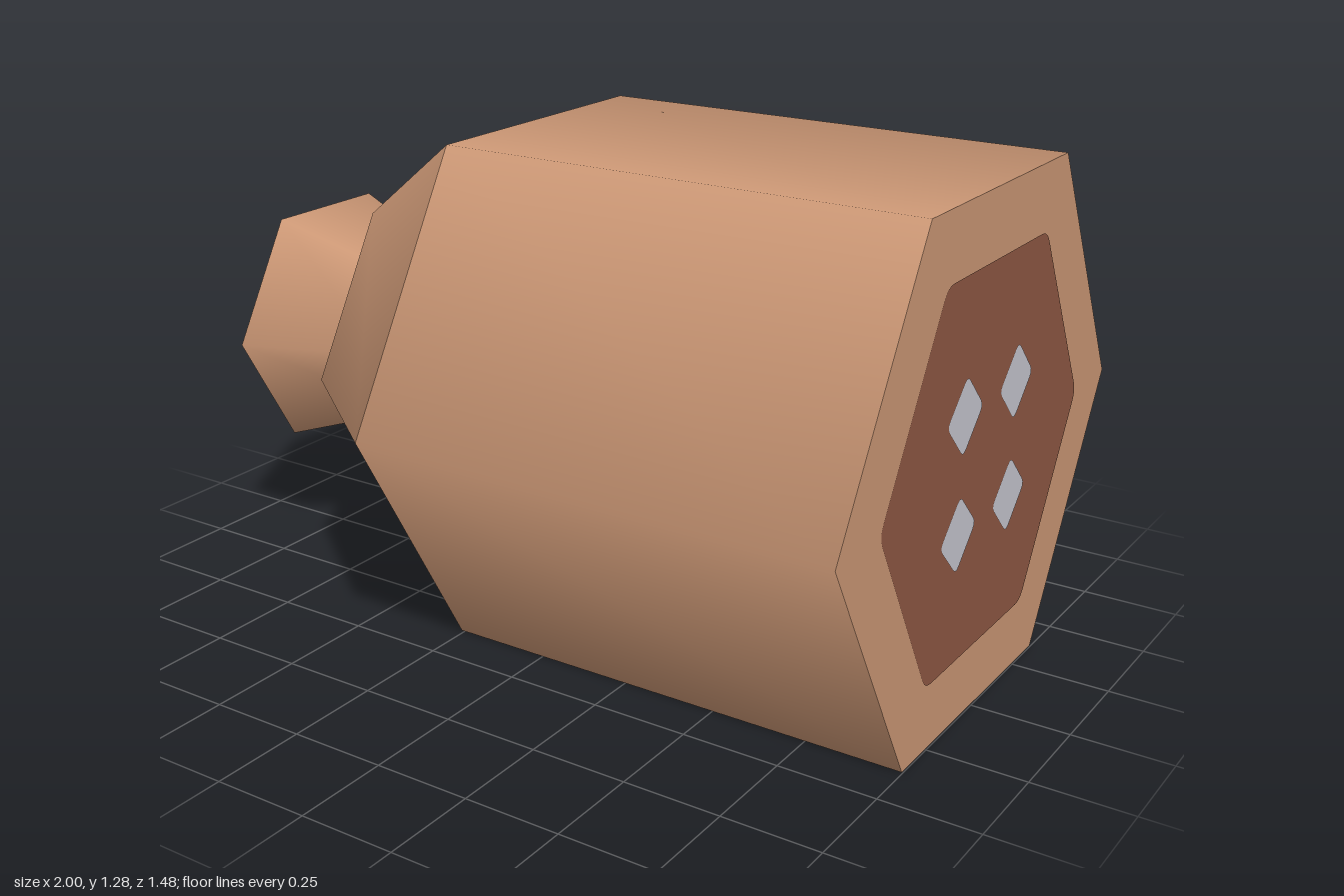
import * as THREE from 'three';

const copper = new THREE.MeshStandardMaterial({ name: 'copper', color: 0xca9674 });
const darkBrown = new THREE.MeshStandardMaterial({ name: 'darkBrown', color: 0x8d5742 });
const lightGrey = new THREE.MeshStandardMaterial({ name: 'lightGrey', color: 0xc4c4cd });

const AXIS_Y = 0.641;

// Six-sided section along x, with smooth shading around its axis
function hexSection(name, x0, x1, r0, r1, openEnded = false) {
  const geometry = new THREE.CylinderGeometry(r1, r0, x1 - x0, 6, 1, openEnded);
  geometry.rotateZ(-Math.PI / 2);
  const mesh = new THREE.Mesh(geometry, copper);
  mesh.name = name;
  mesh.position.set((x0 + x1) / 2, AXIS_Y, 0);
  return mesh;
}

// Flat regular polygon with softened corners, facing +x
function facePlate(name, sides, radius, cut, material, x, y, z) {
  const corner = (i) => {
    const a = (i / sides) * Math.PI * 2;
    return new THREE.Vector2(Math.cos(a) * radius, Math.sin(a) * radius);
  };
  const shape = new THREE.Shape();
  for (let i = 0; i < sides; i++) {
    const c = corner(i);
    const a = c.clone().lerp(corner(i - 1), cut);
    const b = c.clone().lerp(corner(i + 1), cut);
    if (i === 0) shape.moveTo(a.x, a.y);
    else shape.lineTo(a.x, a.y);
    shape.quadraticCurveTo(c.x, c.y, b.x, b.y);
  }
  shape.closePath();
  const mesh = new THREE.Mesh(new THREE.ShapeGeometry(shape, 3), material);
  mesh.name = name;
  mesh.rotation.y = Math.PI / 2;
  mesh.position.set(x, y, z);
  return mesh;
}

export function createModel() {
  const model = new THREE.Group();
  model.name = 'hexagonalThruster';

  // Main body, tapered shoulder and flared nozzle
  model.add(
    hexSection('body', -0.26, 0.997, 0.739, 0.739),
    hexSection('shoulder', -0.63, -0.26, 0.45, 0.739),
    hexSection('nozzle', -1, -0.63, 0.358, 0.218),
  );

  // Recess-coloured panel on the flat end
  model.add(facePlate('endPanel', 6, 0.546, 0.055, darkBrown, 0.9985, AXIS_Y, 0));

  // Four diamond contacts
  for (const sy of [1, -1]) {
    for (const sz of [1, -1]) {
      model.add(facePlate('contact', 4, 0.096, 0.15, lightGrey, 1, AXIS_Y + sy * 0.143, sz * 0.142));
    }
  }
  return model;
}
